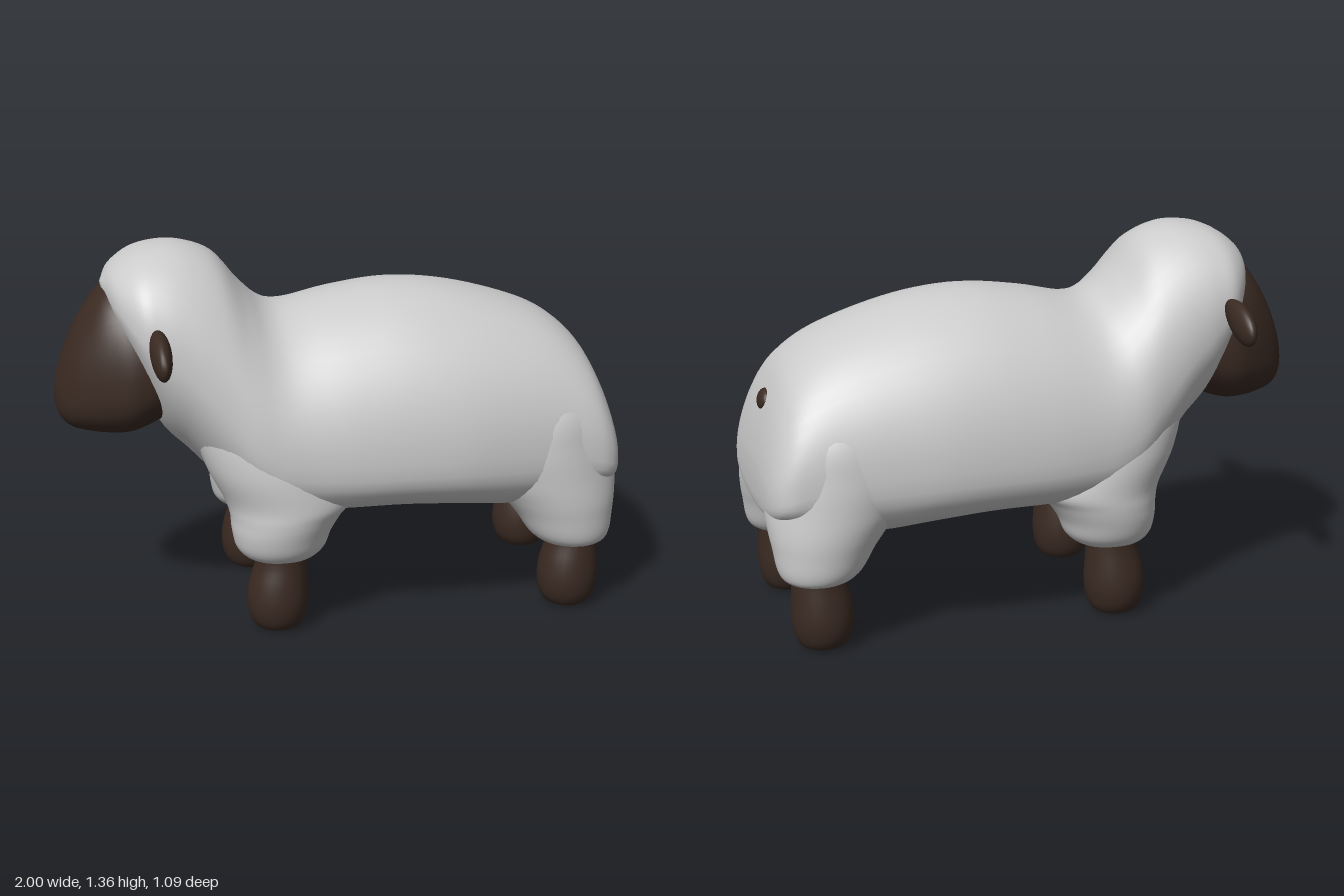
import * as THREE from 'three';

const wool = new THREE.MeshStandardMaterial({ color: 0xcccccc });
const dark = new THREE.MeshStandardMaterial({ color: 0x3a2a22 });

// Smooth closed skin through rows of section values; point(row, angle) gives [x, y, z].
function loft(rows, point, steps = 5, sides = 48) {
  const size = rows[0].length;
  const spline = new THREE.CubicInterpolant(rows.map((_, i) => i), rows.flat(), size, new Float32Array(size));
  const rings = (rows.length - 1) * steps + 1;
  const pos = [], index = [], ends = [];
  for (let i = 0; i < rings; i++) {
    const row = Array.from(spline.evaluate(i / steps));
    const centre = [0, 0, 0];
    for (let j = 0; j < sides; j++) {
      const p = point(row, (j / sides) * Math.PI * 2);
      pos.push(...p);
      p.forEach((v, k) => { centre[k] += v / sides; });
    }
    if (i === 0 || i === rings - 1) ends.push(centre);
  }
  pos.push(...ends[0], ...ends[1]);
  const first = rings * sides;
  for (let j = 0; j < sides; j++) {
    const k = (j + 1) % sides;
    for (let i = 0; i < rings - 1; i++) {
      const a = i * sides + j, b = i * sides + k;
      index.push(a, a + sides, b, b, a + sides, b + sides);
    }
    const last = (rings - 1) * sides;
    index.push(first, j, k, first + 1, last + k, last + j);
  }
  const geo = new THREE.BufferGeometry();
  geo.setAttribute('position', new THREE.Float32BufferAttribute(pos, 3));
  geo.setIndex(index);
  geo.computeVertexNormals();
  return geo;
}

const power = (v, n) => Math.sign(v) * Math.pow(Math.abs(v), 2 / n);

// Upright section: x, bottom, top, half width, height of widest point, squareness above and below
function crossSection([x, bottom, top, w, mid, nTop, nLow], t) {
  const s = Math.sin(t), n = s > 0 ? nTop : nLow;
  return [x, mid + power(s, n) * (s > 0 ? top - mid : mid - bottom), w * power(Math.cos(t), n)];
}

// Level section: y, x range, z range (z mirrored by side)
const levelSection = (side, cx = 0, cz = 0) => ([y, x0, x1, z0, z1], t) => [
  cx + (x0 + x1) / 2 + (x1 - x0) / 2 * Math.cos(t),
  y,
  side * (cz + (z0 + z1) / 2) + (z1 - z0) / 2 * Math.sin(t),
];

const bodyRows = [
  [-0.825, 1.20, 1.23, 0.03, 1.215, 2, 2],
  [-0.79, 1.10, 1.28, 0.19, 1.17, 2.1, 2],
  [-0.72, 0.93, 1.328, 0.3, 1.09, 2.2, 2],
  [-0.64, 0.72, 1.352, 0.335, 1.02, 2.2, 2],
  [-0.54, 0.61, 1.353, 0.36, 0.93, 2.1, 2],
  [-0.43, 0.50, 1.31, 0.39, 0.81, 2, 2.2],
  [-0.34, 0.44, 1.205, 0.42, 0.71, 2, 2.4],
  [-0.26, 0.41, 1.135, 0.435, 0.66, 2, 2.6],
  [-0.17, 0.40, 1.12, 0.445, 0.64, 2, 2.7],
  [0, 0.40, 1.155, 0.462, 0.63, 2, 2.7],
  [0.2, 0.40, 1.178, 0.47, 0.63, 2, 2.7],
  [0.4, 0.385, 1.162, 0.468, 0.63, 2, 2.7],
  [0.6, 0.36, 1.11, 0.445, 0.62, 2.1, 2.6],
  [0.76, 0.37, 1.045, 0.423, 0.6, 2.2, 2.5],
  [0.87, 0.40, 0.96, 0.41, 0.58, 2.3, 2.5],
  [0.93, 0.43, 0.86, 0.395, 0.56, 2.4, 2.5],
  [0.97, 0.44, 0.745, 0.36, 0.55, 2.4, 2.5],
  [0.993, 0.46, 0.64, 0.29, 0.54, 2.4, 2.5],
  [1.0, 0.5, 0.57, 0.18, 0.535, 2.2, 2.2],
];

const faceRows = [
  [-1.0, 0.80, 0.85, 0.025, 0.825, 2, 2],
  [-0.985, 0.748, 0.92, 0.085, 0.82, 2.1, 2.1],
  [-0.95, 0.714, 1.015, 0.14, 0.83, 2.2, 2.2],
  [-0.9, 0.70, 1.115, 0.185, 0.85, 2.2, 2.3],
  [-0.82, 0.692, 1.215, 0.235, 0.87, 2.2, 2.4],
  [-0.73, 0.70, 1.22, 0.268, 0.89, 2.2, 2.4],
  [-0.6, 0.75, 1.16, 0.25, 0.93, 2.2, 2.2],
];

const frontHaunchRows = [
  [0.255, -0.29, -0.19, 0.22, 0.32],
  [0.265, -0.36, -0.13, 0.17, 0.375],
  [0.30, -0.40, -0.085, 0.12, 0.41],
  [0.36, -0.415, -0.06, 0.09, 0.43],
  [0.42, -0.42, -0.02, 0.06, 0.44],
  [0.48, -0.44, 0.03, 0.02, 0.44],
  [0.60, -0.50, 0.0, 0.0, 0.43],
  [0.75, -0.54, -0.05, 0.0, 0.39],
  [0.92, -0.54, -0.15, 0.05, 0.3],
];

const rearHaunchRows = [
  [0.24, 0.78, 0.88, 0.24, 0.34],
  [0.25, 0.72, 0.94, 0.19, 0.4],
  [0.285, 0.67, 0.967, 0.15, 0.425],
  [0.36, 0.62, 0.98, 0.11, 0.435],
  [0.42, 0.57, 0.99, 0.07, 0.44],
  [0.50, 0.50, 0.995, 0.02, 0.44],
  [0.62, 0.45, 0.98, 0.0, 0.435],
  [0.75, 0.50, 0.945, 0.0, 0.41],
  [0.90, 0.60, 0.86, 0.05, 0.32],
];

const footRows = [
  [0, -0.05, 0.05, -0.05, 0.05],
  [0.012, -0.08, 0.08, -0.082, 0.082],
  [0.05, -0.102, 0.1, -0.104, 0.104],
  [0.11, -0.11, 0.11, -0.112, 0.112],
  [0.18, -0.1, 0.108, -0.104, 0.104],
  [0.25, -0.078, 0.105, -0.09, 0.09],
  [0.32, -0.07, 0.1, -0.085, 0.085],
];

export function createModel() {
  const model = new THREE.Group();
  model.name = 'sheep';
  const add = (name, geo, mat) => {
    const mesh = new THREE.Mesh(geo, mat);
    mesh.name = name;
    model.add(mesh);
    return mesh;
  };

  add('woolBody', loft(bodyRows, crossSection), wool);
  add('face', loft(faceRows, crossSection), dark);

  for (const side of [1, -1]) {
    const label = side > 0 ? 'Near' : 'Far';

    // Woolly upper legs sunk into the body, with dark feet below
    add('frontHaunch' + label, loft(frontHaunchRows, levelSection(side)), wool);
    add('rearHaunch' + label, loft(rearHaunchRows, levelSection(side)), wool);
    add('frontFoot' + label, loft(footRows, levelSection(side, -0.26, 0.295), 3, 28), dark);
    add('rearFoot' + label, loft(footRows, levelSection(side, 0.817, 0.295), 3, 28), dark);

    // Flat drooping ears, fuller toward the tip
    const earGeo = new THREE.SphereGeometry(1, 24, 16);
    const p = earGeo.attributes.position;
    for (let i = 0; i < p.count; i++) {
      p.setY(i, p.getY(i) * (1 + 0.2 * side * p.getZ(i)));
    }
    earGeo.scale(0.036, 0.06, 0.122);
    earGeo.computeVertexNormals();
    const ear = add('ear' + label, earGeo, dark);
    ear.position.set(-0.67, 1.075, side * 0.428);
    ear.rotation.x = side * 0.35;
  }

  // Small tail button on the sloping rump
  const tail = add('tail', new THREE.SphereGeometry(1, 20, 14), dark);
  tail.scale.set(0.02, 0.037, 0.05);
  tail.position.set(0.942, 0.822, 0);
  tail.rotation.z = 0.35;

  return model;
}
